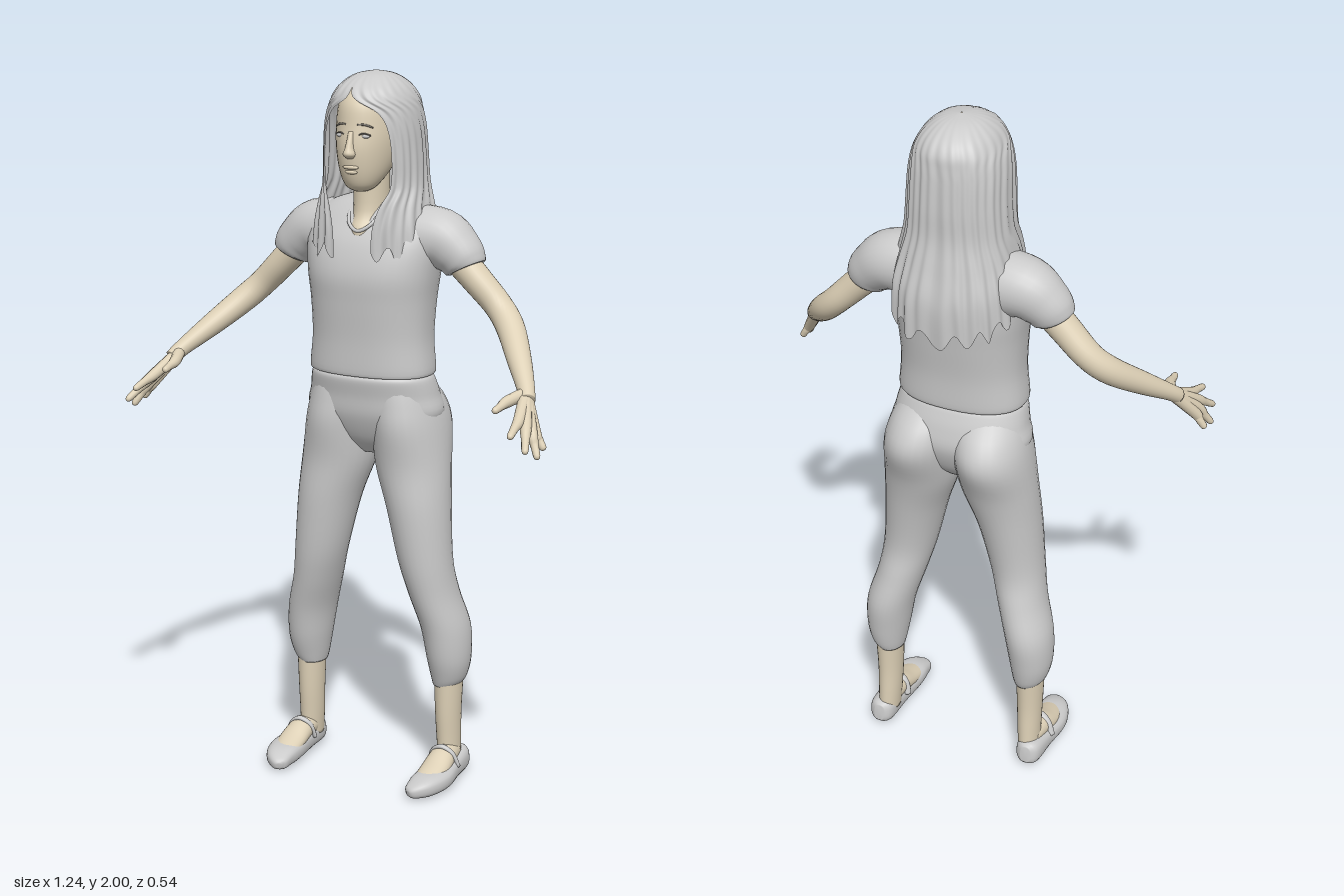
import * as THREE from 'three';

const grey = new THREE.MeshStandardMaterial({ color: 0xcacaca, side: THREE.DoubleSide });
grey.name = 'clothAndHairGrey';
const skin = new THREE.MeshStandardMaterial({ color: 0xddd0b6 });
skin.name = 'skin';
const lash = new THREE.MeshStandardMaterial({ color: 0x77726a });
lash.name = 'browGrey';

const catmull = (a, b, c, d, t) =>
  0.5 * (2 * b + (c - a) * t + (2 * a - 5 * b + 4 * c - d) * t * t + (3 * b - a - 3 * c + d) * t * t * t);

// Smoothly resample rows of numbers
function resample(rows, steps) {
  const out = [], last = rows.length - 1;
  for (let i = 0; i <= last * steps; i++) {
    const k = Math.min(Math.floor(i / steps), last - 1), t = i / steps - k;
    const r = (n) => rows[Math.max(0, Math.min(last, n))];
    out.push(rows[k].map((_, j) => catmull(r(k - 1)[j], r(k)[j], r(k + 1)[j], r(k + 2)[j], t)));
  }
  return out;
}

function makeGeometry(pos, idx) {
  const g = new THREE.BufferGeometry();
  g.setAttribute('position', new THREE.Float32BufferAttribute(pos, 3));
  g.setIndex(idx);
  g.computeVertexNormals();
  return g;
}

const power = (v, p) => Math.sign(v) * Math.pow(Math.abs(v), p);

// Closed skin over cross-sections [x, y, z, r1, r2]: level rings (bottom up),
// or rings square to the path when along is true
function loft(rows, { along = false, n = 28, steps = 5, square = 2 } = {}) {
  const rings = resample(rows, steps), pos = [], idx = [], m = rings.length;
  const centre = (i) => new THREE.Vector3(...rings[Math.max(0, Math.min(m - 1, i))].slice(0, 3));
  const U = new THREE.Vector3(1, 0, 0), V = new THREE.Vector3(0, 0, -1);
  rings.forEach((r, i) => {
    if (along) {
      const T = centre(i + 1).sub(centre(i - 1)).normalize();
      U.set(0, 1, 0).cross(T).normalize();
      V.copy(T).cross(U);
    }
    for (let j = 0; j < n; j++) {
      const a = (j / n) * Math.PI * 2;
      const p = centre(i)
        .addScaledVector(U, power(Math.cos(a), 2 / square) * r[3])
        .addScaledVector(V, power(Math.sin(a), 2 / square) * r[4]);
      pos.push(p.x, p.y, p.z);
    }
  });
  pos.push(...centre(0).toArray(), ...centre(m - 1).toArray());
  for (let j = 0; j < n; j++) {
    const k = (j + 1) % n;
    for (let i = 0; i < m - 1; i++) {
      const a = i * n + j, b = i * n + k;
      idx.push(a, b, b + n, a, b + n, a + n);
    }
    idx.push(m * n, k, j, m * n + 1, (m - 1) * n + j, (m - 1) * n + k);
  }
  return makeGeometry(pos, idx);
}

function mirrored(geo) {
  const pos = Array.from(geo.attributes.position.array, (v, i) => (i % 3 ? v : -v));
  const idx = Array.from(geo.index.array);
  for (let i = 0; i < idx.length; i += 3) [idx[i], idx[i + 1]] = [idx[i + 1], idx[i]];
  return makeGeometry(pos, idx);
}

// Long hair: a curtain round the head with an opening for the face
function hairGeometry() {
  // y, centre z, half width, half depth, opening half-angle in degrees
  const rows = resample([
    [2.0, -0.09, 0.002, 0.002, 0], [1.99, -0.088, 0.052, 0.06, 0], [1.965, -0.087, 0.087, 0.108, 0],
    [1.935, -0.088, 0.108, 0.131, 6], [1.9, -0.088, 0.121, 0.137, 32], [1.85, -0.088, 0.129, 0.141, 43],
    [1.78, -0.09, 0.133, 0.142, 46], [1.7, -0.095, 0.138, 0.138, 41], [1.62, -0.1, 0.15, 0.148, 25],
    [1.53, -0.107, 0.163, 0.16, 16], [1.43, -0.106, 0.168, 0.16, 14],
  ], 5);
  const n = 180, pos = [], idx = [];
  rows.forEach(([y, z, rx, rz, open], i) => {
    const fall = i / (rows.length - 1), sq = 2 / (2 + 0.6 * fall);
    const half = (Math.max(0, open) * Math.PI) / 180;
    const part = -0.22 * Math.max(0, 1 - fall * 2.2);
    for (let j = 0; j <= n; j++) {
      const t = j / n, a = half + t * 2 * (Math.PI - half) + part;
      const front = Math.pow((1 + Math.cos(a)) / 2, 0.7);
      const strand = 0.6 * Math.sin(t * 150) + 0.4 * Math.sin(t * 67 + 2 + fall * 2);
      const k = 1 + strand * (0.012 + 0.022 * fall);
      const drop = y > 1.7 ? y : 1.7 - (1.7 - y) * (1 - 0.36 * front + 0.08 * Math.sin(t * 90) * fall);
      pos.push(power(Math.sin(a), sq) * rx * k, drop, z + power(Math.cos(a), sq) * rz * k);
      if (i && j) {
        const d = i * (n + 1) + j, u = d - n - 1;
        idx.push(u - 1, d - 1, d, u - 1, d, u);
      }
    }
  });
  return makeGeometry(pos, idx);
}

export function createModel() {
  const model = new THREE.Group();
  model.name = 'standingFigure';
  const add = (name, geo, mat) => {
    const mesh = new THREE.Mesh(geo, mat);
    mesh.name = name;
    model.add(mesh);
  };
  const pair = (name, geo, mat) => {
    add('left' + name, geo, mat);
    add('right' + name, mirrored(geo), mat);
  };
  const blob = (x, y, z, sx, sy, sz) => new THREE.SphereGeometry(1, 16, 10).scale(sx, sy, sz).translate(x, y, z);

  // Head, neck and face
  add('head', loft([
    [0, 1.685, -0.01, 0.018, 0.025], [0, 1.7, -0.008, 0.042, 0.048], [0, 1.74, -0.03, 0.065, 0.086],
    [0, 1.8, -0.06, 0.083, 0.123], [0, 1.86, -0.074, 0.09, 0.129], [0, 1.92, -0.08, 0.084, 0.123],
    [0, 1.96, -0.085, 0.06, 0.09], [0, 1.98, -0.085, 0.025, 0.04]], { n: 36 }), skin);
  add('neck', loft([
    [0, 1.54, -0.055, 0.04, 0.07], [0, 1.58, -0.055, 0.047, 0.074], [0, 1.63, -0.066, 0.047, 0.06],
    [0, 1.76, -0.065, 0.048, 0.058]]), skin);
  add('nose', loft([
    [0, 1.778, 0.058, 0.008, 0.008], [0, 1.79, 0.065, 0.017, 0.018], [0, 1.81, 0.062, 0.011, 0.015],
    [0, 1.85, 0.05, 0.008, 0.01]], { n: 16 }), skin);
  add('upperLip', blob(0, 1.755, 0.056, 0.024, 0.006, 0.008), skin);
  add('lowerLip', blob(0, 1.742, 0.053, 0.019, 0.006, 0.008), skin);
  pair('Eye', blob(0.035, 1.838, 0.043, 0.015, 0.006, 0.008), grey);
  pair('UpperLid', loft([
    [0.019, 1.84, 0.052, 0.002, 0.002], [0.035, 1.846, 0.05, 0.003, 0.002],
    [0.052, 1.84, 0.04, 0.002, 0.002]], { along: true, n: 8 }), lash);
  pair('Brow', loft([
    [0.017, 1.868, 0.051, 0.002, 0.002], [0.037, 1.868, 0.044, 0.002, 0.003],
    [0.055, 1.86, 0.032, 0.002, 0.002]], { along: true, n: 8 }), lash);
  add('hair', hairGeometry(), grey);

  // Short-sleeved top
  add('shirt', loft([
    [0, 1.18, -0.076, 0.172, 0.11], [0, 1.19, -0.076, 0.181, 0.117], [0, 1.28, -0.077, 0.173, 0.12],
    [0, 1.38, -0.08, 0.177, 0.131], [0, 1.46, -0.083, 0.187, 0.138], [0, 1.54, -0.092, 0.195, 0.125],
    [0, 1.6, -0.103, 0.185, 0.1], [0, 1.64, -0.112, 0.14, 0.08], [0, 1.665, -0.115, 0.07, 0.058]],
    { n: 40, square: 2.35 }), grey);
  pair('Sleeve', loft([
    [0.11, 1.555, -0.105, 0.088, 0.09], [0.19, 1.552, -0.11, 0.082, 0.083], [0.24, 1.52, -0.108, 0.07, 0.07],
    [0.263, 1.492, -0.106, 0.06, 0.062], [0.27, 1.48, -0.105, 0.051, 0.053]], { along: true }), grey);
  add('neckline', loft([
    [-0.048, 1.64, -0.045, 0.005, 0.005], [-0.036, 1.6, 0.0, 0.005, 0.005], [0, 1.578, 0.017, 0.005, 0.005],
    [0.036, 1.6, 0.0, 0.005, 0.005], [0.048, 1.64, -0.045, 0.005, 0.005]], { along: true, n: 8 }), grey);

  // Arms and hands
  pair('Arm', loft([
    [0.23, 1.52, -0.105, 0.045, 0.045], [0.3, 1.45, -0.106, 0.043, 0.041], [0.365, 1.385, -0.104, 0.04, 0.038],
    [0.415, 1.335, -0.072, 0.039, 0.037], [0.475, 1.27, 0.005, 0.033, 0.031], [0.525, 1.215, 0.075, 0.024, 0.023],
    [0.542, 1.19, 0.105, 0.022, 0.022]], { along: true }), skin);
  const fingers = {
    Thumb: [[0.505, 1.192, 0.15], [0.498, 1.18, 0.218]],
    IndexFinger: [[0.553, 1.157, 0.18], [0.565, 1.13, 0.268]],
    MiddleFinger: [[0.572, 1.141, 0.18], [0.602, 1.09, 0.252]],
    RingFinger: [[0.582, 1.126, 0.165], [0.615, 1.064, 0.2]],
    LittleFinger: [[0.582, 1.122, 0.143], [0.612, 1.076, 0.15]],
  };
  for (const [name, [knuckle, tip]] of Object.entries(fingers)) {
    const mix = (t) => knuckle.map((v, i) => v + (tip[i] - v) * t);
    pair(name, loft([
      [0.53, 1.205, 0.085, 0.017, 0.017], [...knuckle, 0.0155, 0.0155], [...mix(0.5), 0.011, 0.011],
      [...mix(0.9), 0.009, 0.009], [...tip, 0.003, 0.003]], { along: true, n: 12 }), skin);
  }

  // Gathered trousers
  add('trouserSeat', loft([
    [0, 0.945, -0.1, 0.04, 0.05], [0, 0.99, -0.1, 0.13, 0.09], [0, 1.06, -0.098, 0.198, 0.118],
    [0, 1.12, -0.09, 0.19, 0.118], [0, 1.165, -0.078, 0.18, 0.114], [0, 1.178, -0.077, 0.172, 0.108]],
    { n: 40, square: 2.2 }), grey);
  pair('TrouserLeg', loft([
    [0.216, 0.275, -0.12, 0.038, 0.05], [0.222, 0.3, -0.12, 0.05, 0.06], [0.223, 0.36, -0.117, 0.062, 0.074],
    [0.213, 0.45, -0.114, 0.068, 0.085], [0.185, 0.55, -0.095, 0.069, 0.086], [0.164, 0.65, -0.08, 0.076, 0.086],
    [0.14, 0.8, -0.085, 0.09, 0.1], [0.115, 0.92, -0.1, 0.106, 0.114], [0.104, 1.03, -0.114, 0.104, 0.14],
    [0.095, 1.1, -0.106, 0.096, 0.126], [0.085, 1.16, -0.08, 0.08, 0.09]]), grey);

  // Bare ankles, feet and strapped shoes
  pair('Ankle', loft([
    [0.225, 0.04, -0.125, 0.03, 0.045], [0.223, 0.11, -0.122, 0.033, 0.045], [0.222, 0.2, -0.118, 0.036, 0.047],
    [0.222, 0.34, -0.12, 0.042, 0.052]]), skin);
  pair('Foot', loft([
    [0.227, 0.07, -0.13, 0.03, 0.03], [0.23, 0.068, -0.07, 0.037, 0.032], [0.231, 0.05, -0.01, 0.041, 0.026],
    [0.225, 0.035, 0.05, 0.035, 0.02]], { along: true }), skin);
  pair('Shoe', loft([
    [0.235, 0.04, -0.183, 0.015, 0.025], [0.235, 0.038, -0.16, 0.036, 0.038], [0.236, 0.033, -0.08, 0.042, 0.033],
    [0.237, 0.03, 0, 0.051, 0.03], [0.228, 0.028, 0.06, 0.044, 0.028], [0.212, 0.021, 0.1, 0.024, 0.018],
    [0.207, 0.019, 0.11, 0.008, 0.008]], { along: true, square: 2.6 }), grey);
  pair('ShoeStrap', loft([
    [0.19, 0.045, -0.075, 0.01, 0.006], [0.2, 0.084, -0.067, 0.01, 0.006], [0.23, 0.102, -0.06, 0.01, 0.006],
    [0.26, 0.084, -0.067, 0.01, 0.006], [0.276, 0.045, -0.075, 0.01, 0.006]], { along: true, n: 10 }), grey);

  return model;
}
